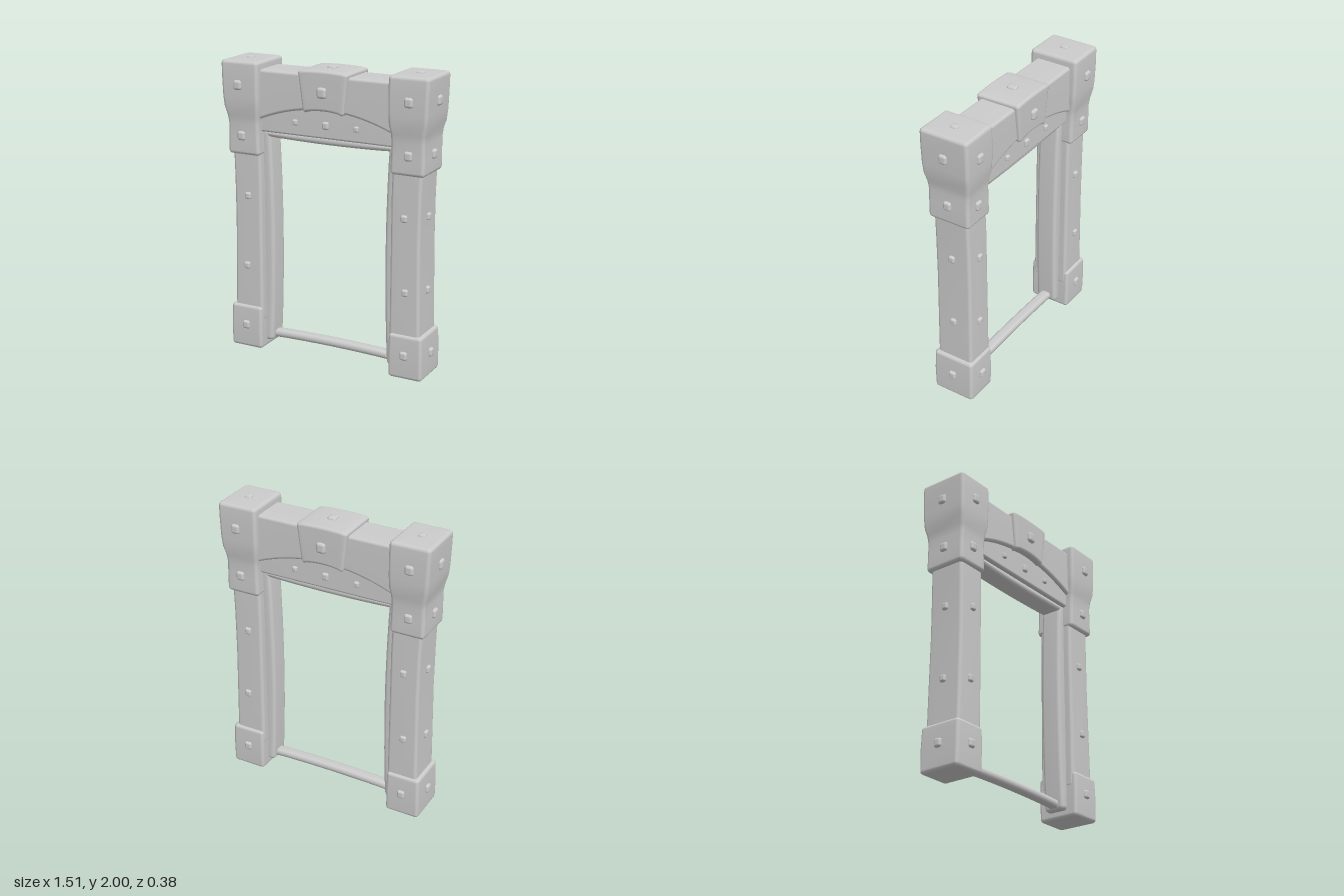
import * as THREE from 'three';
import { RoundedBoxGeometry } from 'three/addons/geometries/RoundedBoxGeometry.js';

const material = new THREE.MeshStandardMaterial({ color: 0xcccccc, roughness: 0.8 });
const STEPS = 3; // segments per rounded edge

// Rounded rectangle ring, counter-clockwise in (a, b)
function ring(a0, a1, b0, b1, r) {
  const points = [];
  const corners = [[a1 - r, b1 - r], [a0 + r, b1 - r], [a0 + r, b0 + r], [a1 - r, b0 + r]];
  corners.forEach(([a, b], q) => {
    for (let i = 0; i <= STEPS; i++) {
      const angle = (q + i / STEPS) * Math.PI / 2;
      points.push([a + r * Math.cos(angle), b + r * Math.sin(angle)]);
    }
  });
  return points;
}

// Lofts rows [t, a0, a1, b0, b1] into a solid with rounded edges.
// Upright: t = y, a = z, b = x. Level: t = x, a = y, b = z.
function loft(rows, r, upright) {
  const place = (a, b, t) => (upright ? [b, t, a] : [t, a, b]);
  const end = (row, sign) => Array.from({ length: STEPS + 1 }, (_, i) => {
    const angle = (i / STEPS) * Math.PI / 2;
    const inset = r * (1 - Math.sin(angle));
    return { row, t: row[0] + sign * r * (1 - Math.cos(angle - Math.PI / 2 + Math.PI / 2)), inset };
  });
  const first = rows[0], last = rows[rows.length - 1];
  const levels = [
    ...end(first, 1),
    ...rows.slice(1, -1).map(row => ({ row, t: row[0], inset: 0 })),
    ...end(last, -1).reverse(),
  ];
  const positions = [], index = [];
  for (const { row, t, inset: d } of levels) {
    const [, a0, a1, b0, b1] = row;
    for (const [a, b] of ring(a0 + d, a1 - d, b0 + d, b1 - d, Math.max(r - d, 0.002))) {
      positions.push(...place(a, b, t));
    }
  }
  const n = 4 * (STEPS + 1);
  for (let i = 0; i < levels.length - 1; i++) {
    for (let j = 0; j < n; j++) {
      const p = i * n + j, q = i * n + (j + 1) % n;
      index.push(p, q, q + n, p, q + n, p + n);
    }
  }
  // Flat ends
  const top = (levels.length - 1) * n;
  const c0 = positions.length / 3;
  for (const row of [first, last]) {
    positions.push(...place((row[1] + row[2]) / 2, (row[3] + row[4]) / 2, row[0]));
  }
  for (let j = 0; j < n; j++) {
    const k = (j + 1) % n;
    index.push(c0, k, j, c0 + 1, top + j, top + k);
  }
  const geometry = new THREE.BufferGeometry();
  geometry.setAttribute('position', new THREE.Float32BufferAttribute(positions, 3));
  geometry.setIndex(index);
  geometry.computeVertexNormals();
  return geometry;
}

// Evenly spaced rows between two ends, u running from -1 to 1
const sweep = (t0, t1, count, f) => Array.from({ length: count + 1 }, (_, i) => {
  const u = (2 * i) / count - 1;
  return [t0 + (t1 - t0) * i / count, ...f(u)];
});

export function createModel() {
  const model = new THREE.Group();
  const add = (name, geometry, parent = model) => {
    const mesh = new THREE.Mesh(geometry, material);
    mesh.name = name;
    parent.add(mesh);
    return mesh;
  };
  const studGeometry = new RoundedBoxGeometry(0.058, 0.064, 0.036, 3, 0.017);
  const studs = new THREE.Group();
  studs.name = 'studs';
  model.add(studs);
  const stud = (x, y, z, axis = 'z', size = 1) => {
    const mesh = add('stud', studGeometry, studs);
    mesh.position.set(x, y, z);
    mesh.scale.set(size, size, 1);
    if (axis === 'x') mesh.rotation.y = Math.PI / 2;
    if (axis === 'y') mesh.rotation.x = Math.PI / 2;
  };

  for (const s of [-1, 1]) {
    const side = s > 0 ? 'left' : 'right';
    // Row [y, half depth, inner x, outer x] mirrored to this side
    const up = rows => rows.map(([y, h, inner, outer]) =>
      [y, -h, h, ...(s > 0 ? [inner, outer] : [-outer, -inner])]);

    // Slightly waisted post between a block foot and a flared cap
    add(side + 'Post', loft(up([
      [0.2, 0.13, 0.475, 0.69], [0.5, 0.13, 0.475, 0.685], [0.9, 0.128, 0.475, 0.679],
      [1.2, 0.127, 0.475, 0.681], [1.45, 0.125, 0.48, 0.688],
    ]), 0.022, true));
    add(side + 'Foot', loft(up([
      [0, 0.147, 0.478, 0.716], [0.15, 0.15, 0.477, 0.716], [0.302, 0.147, 0.478, 0.712],
    ]), 0.022, true));
    add(side + 'Cap', loft(up([
      [1.36, 0.149, 0.474, 0.709], [1.48, 0.148, 0.477, 0.709], [1.57, 0.149, 0.479, 0.707],
      [1.62, 0.155, 0.476, 0.712], [1.68, 0.167, 0.467, 0.727], [1.75, 0.171, 0.465, 0.734],
      [1.87, 0.173, 0.464, 0.738], [1.988, 0.171, 0.466, 0.741],
    ]), 0.024, true));

    // Inner jamb, bowed toward the opening
    add(side + 'Jamb', loft(up(
      sweep(0.045, 1.53, 12, u => [0.075, 0.412 + 0.02 * u * u, 0.5])
    ), 0.024, true));

    // Studs: [y, x, face half depth, outer face x, size]
    for (const [y, x, h, outer, size] of [
      [1.83, 0.61, 0.172, 0.736, 1], [1.49, 0.602, 0.148, 0.709, 0.95],
      [1.08, 0.572, 0.128, 0.68, 0.75], [0.59, 0.587, 0.13, 0.684, 0.75],
      [0.165, 0.593, 0.149, 0.716, 0.9],
    ]) {
      stud(s * x, y, h, 'z', size);
      stud(s * x, y, -h, 'z', size);
      stud(s * outer, y, 0, 'x', size);
    }
    stud(s * 0.61, 1.983, 0, 'y', 0.85);
  }

  // Lintel with an arched underside
  add('lintel', loft(sweep(-0.52, 0.52, 24, u =>
    [1.708 - 0.118 * u * u, 1.937, -0.129, 0.126]), 0.02, false));
  // Recessed panel filling the arch
  add('archPanel', loft(sweep(-0.5, 0.5, 4, () => [1.52, 1.78, -0.1, 0.1]), 0.015, false));
  // Head trim and bottom rail close the inner frame
  add('headTrim', loft(sweep(-0.46, 0.46, 10, u =>
    [1.473 + 0.01 * u * u, 1.528, -0.075, 0.075]), 0.022, false));
  add('bottomRail', loft(sweep(-0.46, 0.46, 10, u =>
    [0.069 - 0.01 * u * u, 0.123 - 0.01 * u * u, -0.038, 0.038]), 0.022, false));

  // Tapered keystone with a hollowed lower edge
  const keystone = loft(sweep(-0.18, 0.18, 8, u =>
    [1.708 - 0.018 * u * u, 1.97 - 0.008 * u * u, -0.157, 0.153]), 0.02, false);
  const p = keystone.attributes.position;
  for (let i = 0; i < p.count; i++) {
    const drop = (1.965 - p.getY(i)) / 0.27;
    p.setX(i, p.getX(i) * (1 - 0.19 * drop));
    p.setZ(i, p.getZ(i) * (1 - 0.04 * drop));
  }
  keystone.computeVertexNormals();
  add('keystone', keystone);

  // Studs on the keystone and arch panel
  for (const f of [-1, 1]) {
    stud(0, 1.83, f * 0.155, 'z', 1.1);
    stud(0, 1.61, f * 0.1, 'z', 0.8);
    for (const x of [-0.222, 0.22]) stud(x, 1.61, f * 0.1, 'z', 0.6);
  }
  stud(0, 1.967, 0, 'y', 1.05);

  return model;
}
